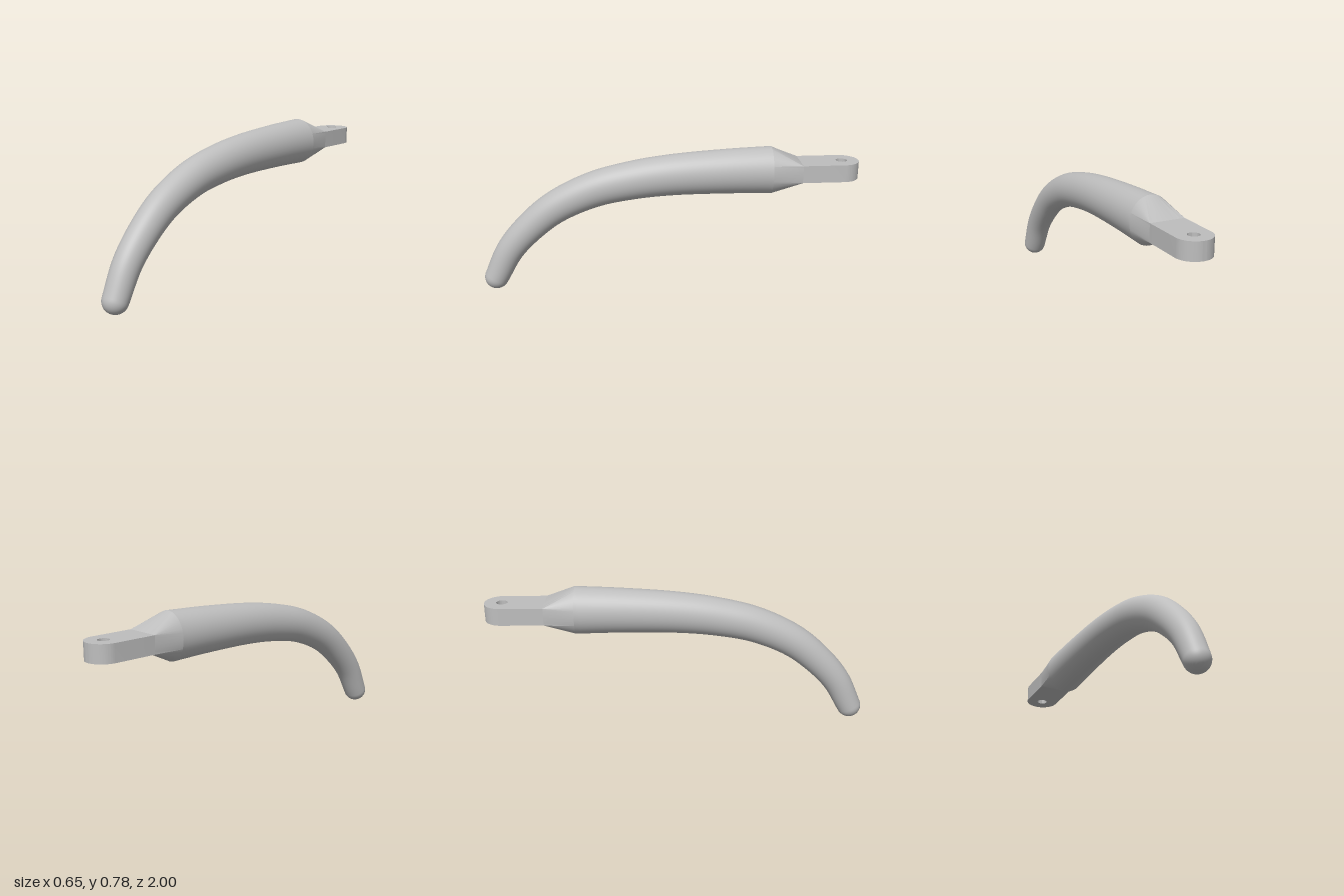
import * as THREE from 'three';
import { toCreasedNormals } from 'three/addons/utils/BufferGeometryUtils.js';

const SIDES = 48;

// Skin a list of closed rings (each SIDES points) into one surface
function skin(rings) {
  const pos = [], index = [];
  rings.forEach((ring) => ring.forEach((p) => pos.push(p.x, p.y, p.z)));
  for (let i = 0; i < rings.length - 1; i++) {
    for (let j = 0; j < SIDES; j++) {
      const a = i * SIDES + j, b = i * SIDES + (j + 1) % SIDES;
      index.push(a, a + SIDES, b, b, a + SIDES, b + SIDES);
    }
  }
  const g = new THREE.BufferGeometry();
  g.setAttribute('position', new THREE.Float32BufferAttribute(pos, 3));
  g.setIndex(index);
  g.computeVertexNormals();
  return g;
}

// Elliptical ring across the path direction t
function ellipseRing(c, t, rw, rh) {
  return Array.from({ length: SIDES }, (_, j) => {
    const a = (j / SIDES) * Math.PI * 2;
    const h = rh * Math.sin(a);
    return new THREE.Vector3(rw * Math.cos(a), c.y - t.z * h, c.z + t.y * h);
  });
}

export function createModel() {
  const metal = new THREE.MeshStandardMaterial({ color: 0xbebebe });
  metal.name = 'grey metal';
  const model = new THREE.Group();
  model.name = 'lever';
  const add = (name, geometry) => {
    const mesh = new THREE.Mesh(geometry, metal);
    mesh.name = name;
    model.add(mesh);
  };

  // Curved grip: centre line from the tip up and back
  const path = new THREE.CatmullRomCurve3([
    [0.97, 0.066], [0.883, 0.23], [0.759, 0.367], [0.624, 0.472], [0.417, 0.566],
    [0.21, 0.613], [0.003, 0.638], [-0.307, 0.652], [-0.545, 0.655],
  ].map(([z, y]) => new THREE.Vector3(0, y, z)));
  const tipR = 0.066, endW = 0.114, endH = 0.13;
  const rings = [];

  // Rounded tip
  const tip = path.getPointAt(0), tipDir = path.getTangentAt(0);
  for (let k = 0; k < 10; k++) {
    const phi = (1 - k / 10) * Math.PI * 0.4999;
    const r = tipR * Math.cos(phi);
    rings.push(ellipseRing(tip.clone().addScaledVector(tipDir, -tipR * Math.sin(phi)), tipDir, r, r));
  }
  // Widening shaft
  const steps = 60, back = new THREE.Vector3(0, 0, -1);
  for (let i = 0; i <= steps; i++) {
    const t = i / steps;
    rings.push(ellipseRing(path.getPointAt(t), i === steps ? back : path.getTangentAt(t),
      tipR + (endW - tipR) * t, tipR + (endH - tipR) * Math.pow(t, 0.85)));
  }
  add('grip', skin(rings));

  // Neck: oval end blending into the rectangular tab
  const tabZ = -0.707, holeZ = -0.934, tabW = 0.094, tabH = 0.0475, midY = 0.6525;
  const clamp = (v) => THREE.MathUtils.clamp(v / 0.35, -1, 1);
  const rect = Array.from({ length: SIDES }, (_, j) => {
    const a = (j / SIDES) * Math.PI * 2;
    return new THREE.Vector3(tabW * clamp(Math.cos(a)), midY + tabH * clamp(Math.sin(a)), tabZ);
  });
  add('neck', toCreasedNormals(skin([rings[rings.length - 1], rect]), 0.35));

  // Mounting tab with round end and pivot hole
  const shape = new THREE.Shape();
  shape.moveTo(-tabW, -tabZ);
  shape.lineTo(tabW, -tabZ);
  shape.lineTo(tabW, -holeZ);
  shape.absarc(0, -holeZ, tabW, 0, Math.PI, false);
  shape.closePath();
  const hole = new THREE.Path();
  hole.absarc(0, -holeZ, 0.03, 0, Math.PI * 2, true);
  shape.holes.push(hole);
  const tab = new THREE.ExtrudeGeometry(shape, { depth: tabH * 2, bevelEnabled: false, curveSegments: 32 });
  tab.rotateX(-Math.PI / 2);
  tab.translate(0, midY - tabH, 0);
  add('mountingTab', toCreasedNormals(tab, 0.6));

  // The lever is swung sideways about the vertical
  model.rotation.y = -Math.PI / 12;
  model.position.set(-0.012, 0, -0.003);
  const root = new THREE.Group();
  root.name = 'leverAssembly';
  root.add(model);
  return root;
}
